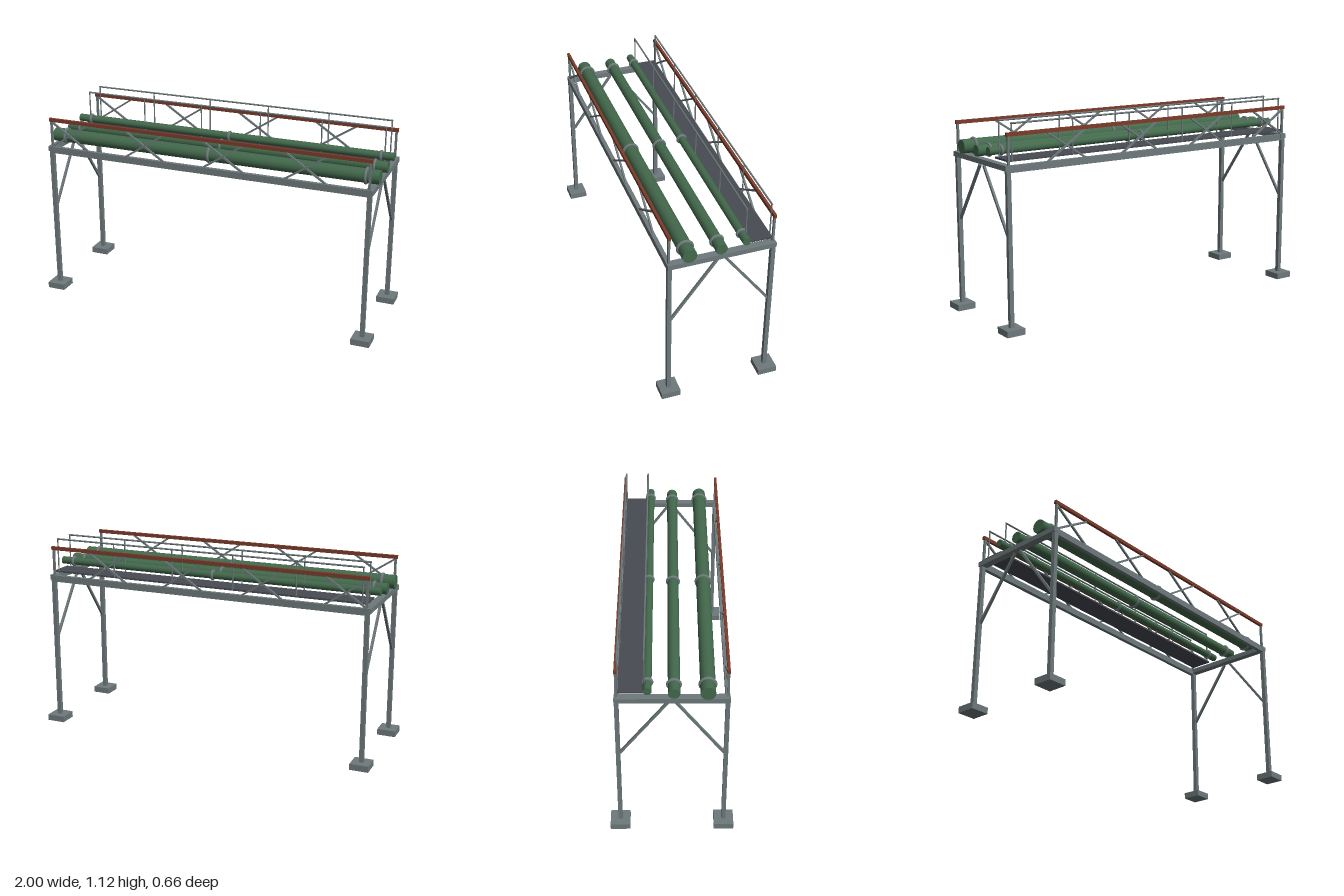
import * as THREE from 'three';

const mat = (name, color) => {
  const m = new THREE.MeshStandardMaterial({ color });
  m.name = name;
  return m;
};

export function createModel() {
  const root = new THREE.Group();
  root.name = 'pipeBridge';
  const steel = mat('steel', 0x6e797b);
  const deck = mat('deck', 0x484b51);
  const green = mat('pipeGreen', 0x43694c);
  const rust = mat('rustRed', 0x7c3b2a);

  const add = (name, geo, material, x, y, z) => {
    const m = new THREE.Mesh(geo, material);
    m.name = name;
    m.position.set(x, y, z);
    root.add(m);
    return m;
  };
  const box = (name, material, w, h, d, x, y, z) =>
    add(name, new THREE.BoxGeometry(w, h, d), material, x, y, z);
  // Square bar between two points
  const bar = (name, a, b, t) => {
    const p = new THREE.Vector3(...a), q = new THREE.Vector3(...b);
    const m = box(name, steel, t, t, p.distanceTo(q), ...p.clone().add(q).multiplyScalar(0.5).toArray());
    m.lookAt(q);
  };
  // Round rod along x or y
  const rod = (name, material, r, len, x, y, z, alongX, sides) => {
    const g = new THREE.CylinderGeometry(r, r, len, sides);
    if (alongX) g.rotateZ(Math.PI / 2);
    add(name, g, material, x, y, z);
  };

  const X = 0.947, Z = 0.279;

  // End frames: footings, columns, cross beams and knee braces
  for (const sx of [-1, 1]) {
    for (const sz of [-1, 1]) {
      box('footing', steel, 0.106, 0.035, 0.106, sx * X, 0.0175, sz * Z);
      box('column', steel, 0.024, 0.84, 0.023, sx * X, 0.45, sz * Z);
      bar('kneeBrace', [sx * X, 0.52, sz * 0.268], [sx * X, 0.86, sz * 0.02], 0.013);
      box('trussPost', steel, 0.012, 0.155, 0.012, sx * 0.943, 0.97, sz * Z);
    }
    box('crossBeam', steel, 0.04, 0.028, 0.583, sx * X, 0.883, 0);
  }

  // Side trusses: bottom beam, top chord and crossed diagonals in every other bay
  const bay = X / 4;
  for (const sz of [-1, 1]) {
    box('sideBeam', steel, 1.92, 0.037, 0.022, 0, 0.877, sz * Z);
    box('topChord', rust, 1.91, 0.02, 0.015, 0, 1.056, sz * Z);
    for (let i = 0; i < 8; i += 2) {
      const x0 = -X + i * bay, x1 = x0 + bay;
      bar('diagonal', [x0, 0.893, sz * Z], [x1, 1.048, sz * Z], 0.01);
      bar('diagonal', [x0, 1.048, sz * Z], [x1, 0.893, sz * Z], 0.01);
    }
  }

  // Pipes with collars
  for (const [r, y, z] of [[0.039, 0.937, 0.179], [0.031, 0.937, 0.01], [0.022, 0.952, -0.123]]) {
    rod('pipe', green, r, 1.95, 0, y, z, true, 16);
    for (const x of [-0.9, 0, 0.9]) {
      const ring = new THREE.TorusGeometry(r, 0.009, 8, 16);
      ring.rotateY(Math.PI / 2);
      add('pipeCollar', ring, steel, x, y, z);
    }
  }

  // Walkway and its handrails
  box('walkway', deck, 1.886, 0.01, 0.132, 0, 0.918, -0.207);
  for (const z of [-0.139, -0.272]) {
    rod('handrail', steel, 0.005, 1.842, 0, 1.111, z, true, 8);
    for (let i = 0; i < 6; i++)
      rod('handrailPost', steel, 0.004, 0.196, -0.917 + i * 0.3668, 1.014, z, false, 8);
  }
  return root;
}
